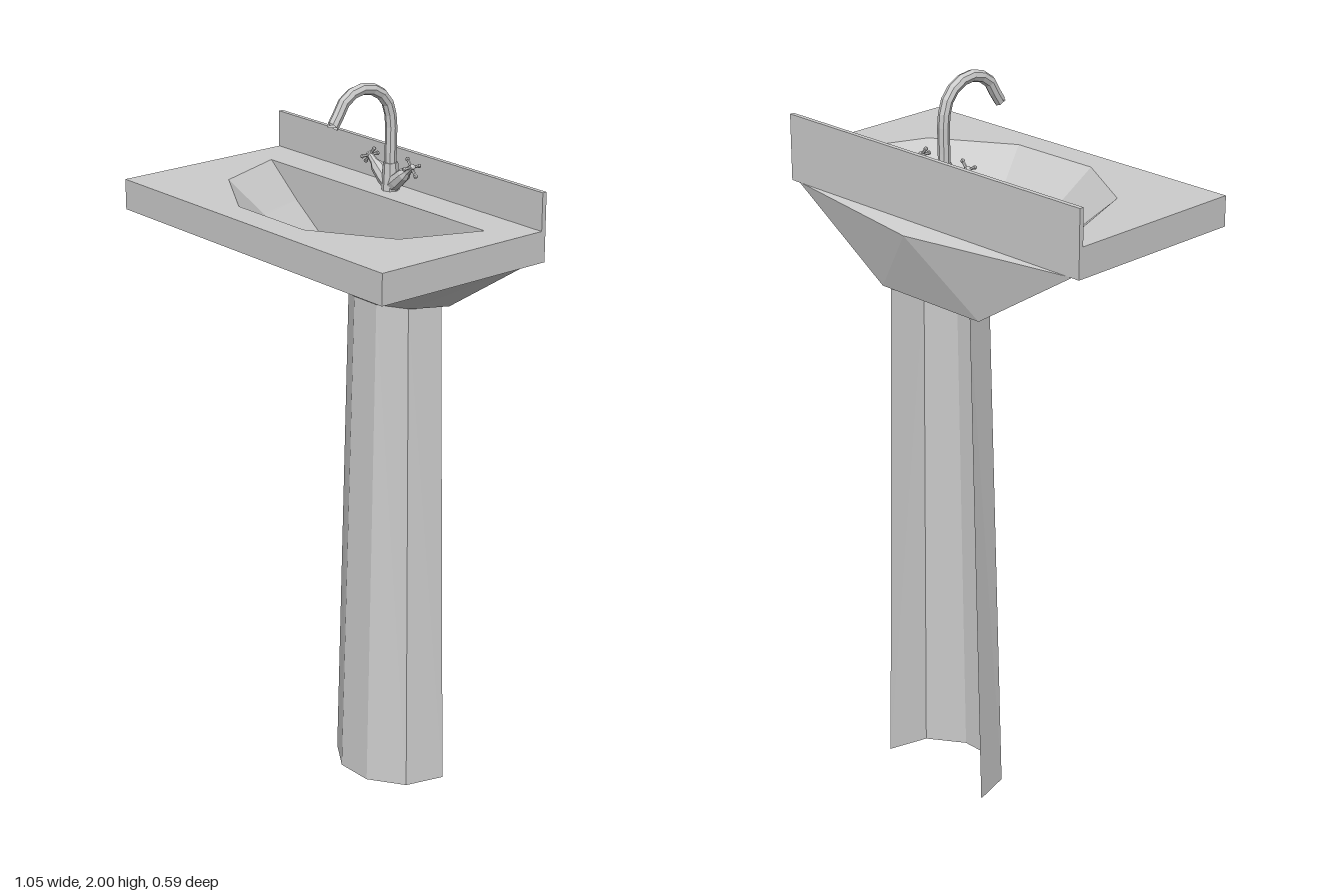
import * as THREE from 'three';

const flat = new THREE.MeshStandardMaterial({ color: 0xcccccc, flatShading: true, side: THREE.DoubleSide });

// Mirrors [x, z] points of the +x half into a full outline at height y
const outline = (half, y) => [
  ...half.map(([x, z]) => [x, y, z]),
  ...half.slice().reverse().map(([x, z]) => [-x, y, z]),
];

// Triangles joining successive rings of equal length
function loft(rings, closed) {
  const tris = [];
  for (let r = 0; r + 1 < rings.length; r++) {
    const a = rings[r], b = rings[r + 1], n = a.length;
    for (let i = 0; i < (closed ? n : n - 1); i++) {
      const j = (i + 1) % n;
      tris.push(a[i], b[i], b[j], a[i], b[j], a[j]);
    }
  }
  return tris;
}

// Triangles from one point to every edge of a closed outline
const fan = (centre, ring) =>
  ring.flatMap((p, i) => [centre, p, ring[(i + 1) % ring.length]]);

function surface(tris) {
  const g = new THREE.BufferGeometry();
  g.setAttribute('position', new THREE.Float32BufferAttribute(tris.flat(), 3));
  g.computeVertexNormals();
  return g;
}

export function createModel() {
  const group = new THREE.Group();
  const add = (name, geometry, parent = group) => {
    const mesh = new THREE.Mesh(geometry, flat);
    mesh.name = name;
    parent.add(mesh);
    return mesh;
  };

  // Half-round pedestal, open at the back
  const pedestalFoot = outline([[0.183, -0.24], [0.152, -0.13], [0.055, -0.066]], 0);
  const pedestalHead = outline([[0.146, -0.24], [0.122, -0.145], [0.045, -0.1]], 1.41);
  add('pedestal', surface(loft([pedestalFoot, pedestalHead], false)));

  // Counter slab with the basin opening
  const rim = [[0.428, -0.125], [0.345, 0.086], [0.132, 0.217]];
  const slab = new THREE.Shape([[-0.525, -0.295], [0.525, -0.295], [0.525, 0.24], [-0.525, 0.24]]
    .map(([x, y]) => new THREE.Vector2(x, y)));
  slab.holes.push(new THREE.Path(outline(rim, 0).map(([x, , z]) => new THREE.Vector2(x, -z))));
  const slabGeometry = new THREE.ExtrudeGeometry(slab, { depth: 0.083, bevelEnabled: false });
  slabGeometry.rotateX(-Math.PI / 2).translate(0, 1.617, 0);
  add('counter', slabGeometry);

  const splash = add('backsplash', new THREE.BoxGeometry(1.05, 0.183, 0.013));
  splash.position.set(0, 1.7085, -0.2365);

  // Basin interior with a narrow ledge part way down
  const floor = outline([[0.165, -0.125], [0.135, -0.045], [0.05, 0.006]], 1.5);
  const basinRings = [
    outline(rim, 1.7),
    outline([[0.324, -0.125], [0.263, 0.034], [0.102, 0.132]], 1.615),
    outline([[0.318, -0.125], [0.258, 0.03], [0.099, 0.127]], 1.61),
    floor,
  ];
  add('basin', surface([...loft(basinRings, true), ...fan([0, 1.5, -0.07], floor)]));
  const drain = outline([[0.1, -0.08], [0.05, -0.04]], 1.502);
  add('drain', surface(fan([0, 1.502, -0.06], drain)));

  // Faceted underside, its back drawn out to a point
  const underRim = outline([[0.5, -0.24], [0.41, 0.08], [0.17, 0.235]], 1.617);
  const underFoot = outline([[0.178, -0.24], [0.13, -0.145], [0.046, -0.1]], 1.41);
  const backLoop = [underRim[0], underFoot[0], underFoot[5], underRim[5]];
  add('underside', surface([
    ...loft([underRim, underFoot], false),
    ...fan([0.035, 1.6, -0.297], backLoop),
    ...fan([0, 1.41, -0.17], underFoot),
  ]));

  // Tap: gooseneck spout turned slightly sideways
  const tap = new THREE.Group();
  tap.name = 'tap';
  tap.position.set(0, 1.7, -0.185);
  group.add(tap);
  const path = new THREE.CurvePath();
  const spine = [[0, 0], [0, 0.1], [0, 0.19]];
  for (let i = 1; i <= 6; i++) {
    const a = Math.PI - i * 0.49;
    spine.push([0.091 + 0.091 * Math.cos(a), 0.19 + 0.094 * Math.sin(a)]);
  }
  spine.push([0.19, 0.2]);
  const points = spine.map(([z, y]) => new THREE.Vector3(-0.04 * z, y, z));
  for (let i = 1; i < points.length; i++) path.add(new THREE.LineCurve3(points[i - 1], points[i]));
  add('spout', new THREE.TubeGeometry(new THREE.CatmullRomCurve3(points), 14, 0.016, 8), tap);
  add('spoutTip', new THREE.CircleGeometry(0.016, 8).rotateX(Math.PI / 2), tap)
    .position.copy(points[points.length - 1]);
  add('tapBase', new THREE.CylinderGeometry(0.02, 0.024, 0.075, 8), tap).position.y = 0.037;

  // Two slanting valves, each with a four-armed handle
  for (const side of [1, -1]) {
    const valve = new THREE.Group();
    valve.name = side > 0 ? 'leftValve' : 'rightValve';
    valve.position.y = 0.008;
    valve.rotation.z = -side * 0.88;
    tap.add(valve);
    const profile = [[0, 0], [0.018, 0], [0.021, 0.03], [0.018, 0.07], [0.011, 0.085], [0.008, 0.115], [0, 0.118]];
    add('valveBody', new THREE.LatheGeometry(profile.map(p => new THREE.Vector2(...p)), 8), valve);
    for (let k = 0; k < 4; k++) {
      const spoke = new THREE.Group();
      spoke.name = 'handleSpoke';
      spoke.position.y = 0.108;
      spoke.rotation.y = k * Math.PI / 2;
      valve.add(spoke);
      add('spokeArm', new THREE.CylinderGeometry(0.004, 0.004, 0.026, 6).rotateZ(Math.PI / 2), spoke)
        .position.x = 0.013;
      add('spokeKnob', new THREE.SphereGeometry(0.006, 6, 4), spoke).position.x = 0.026;
    }
  }
  return group;
}
